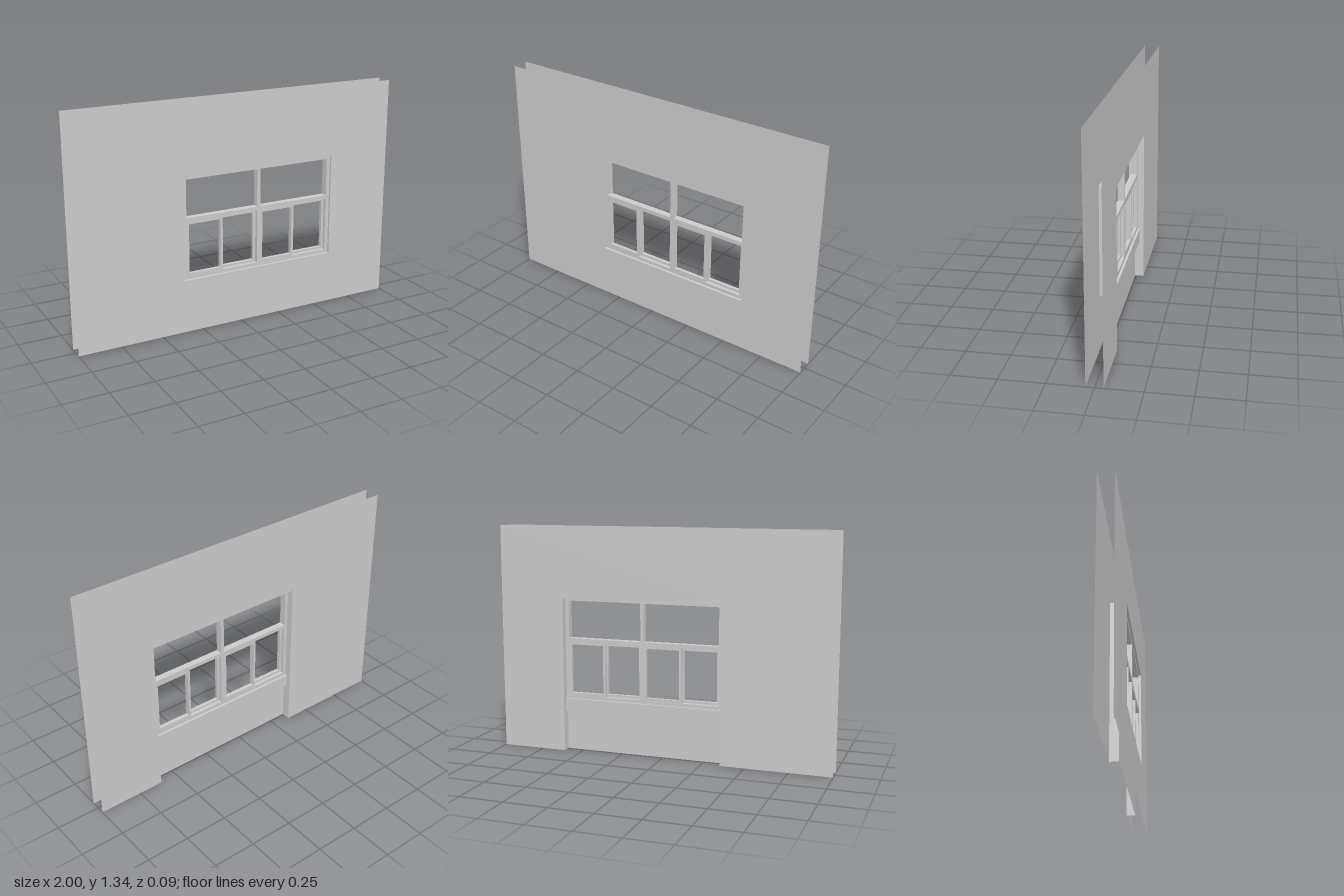
import * as THREE from 'three';

const material = new THREE.MeshStandardMaterial({ color: 0xcccccc, side: THREE.DoubleSide, flatShading: true });

// Window opening, wall sheets and depth planes
const L = -0.358, R = 0.605, BOTTOM = 0.314, TOP = 0.922;
const WALL_H = 1.335, FRONT = 0.046, BACK = -0.046;
const FRAME_BACK = -0.007, FRAME_FRONT = 0.032, FRAME_MID = 0.0125;
const SILL_Y = 0.236, SILL_Z = -0.021, NICHE_Z = 0.006;

function rect(Type, x0, x1, y0, y1) {
  const r = new Type();
  r.moveTo(x0, y0);
  r.lineTo(x1, y0);
  r.lineTo(x1, y1);
  r.lineTo(x0, y1);
  r.closePath();
  return r;
}

// Rectangle [x0, x1, y0, y1] pierced by rectangular holes
function pierced(outer, holes) {
  const shape = rect(THREE.Shape, ...outer);
  shape.holes = holes.map(h => rect(THREE.Path, ...h));
  return shape;
}

export function createModel() {
  const model = new THREE.Group();
  const add = (name, geometry) => {
    const mesh = new THREE.Mesh(geometry, material);
    mesh.name = name;
    model.add(mesh);
    return mesh;
  };
  const slab = (name, outer, holes, z0, z1) => add(name,
    new THREE.ExtrudeGeometry(pierced(outer, holes), { depth: z1 - z0, bevelEnabled: false }).translate(0, 0, z0));

  // Upright strip facing across the wall, at x
  const sideStrip = (name, x, y0, y1, z0, z1) => add(name,
    new THREE.PlaneGeometry(z1 - z0, y1 - y0).rotateY(x > 0 ? -Math.PI / 2 : Math.PI / 2)
      .translate(x, (y0 + y1) / 2, (z0 + z1) / 2));
  // Level strip spanning the opening, at y
  const levelStrip = (name, y, z0, z1, up) => add(name,
    new THREE.PlaneGeometry(R - L, z1 - z0).rotateX(up ? -Math.PI / 2 : Math.PI / 2)
      .translate((L + R) / 2, y, (z0 + z1) / 2));
  // Upright strip spanning the opening and facing the back
  const backStrip = (name, y0, y1, z) => add(name,
    new THREE.PlaneGeometry(R - L, y1 - y0).rotateY(Math.PI).translate((L + R) / 2, (y0 + y1) / 2, z));

  // Outer wall sheet with the window opening
  add('frontWall', new THREE.ShapeGeometry(pierced([-1, 1, 0, WALL_H], [[L, R, BOTTOM, TOP]])).translate(0, 0, FRONT));

  // Inner wall sheet, open down to the floor
  const inner = new THREE.Shape([
    [-1, 0], [L, 0], [L, TOP], [R, TOP], [R, 0], [1, 0], [1, WALL_H], [-1, WALL_H],
  ].map(p => new THREE.Vector2(...p)));
  add('backWall', new THREE.ShapeGeometry(inner).rotateY(Math.PI).scale(-1, 1, 1).translate(0, 0, BACK));

  // Reveals round the window and the niche below it
  for (const x of [L, R]) {
    sideStrip('windowReveal', x, BOTTOM, TOP, BACK, FRONT);
    sideStrip('sillReveal', x, SILL_Y, BOTTOM, BACK, SILL_Z);
    sideStrip('nicheReveal', x, 0, SILL_Y, BACK, NICHE_Z);
  }
  levelStrip('windowHead', TOP, BACK, FRONT, false);

  // Sill and recessed niche panel
  levelStrip('sillTop', BOTTOM, SILL_Z, FRONT, true);
  backStrip('sillFace', SILL_Y, BOTTOM, SILL_Z);
  levelStrip('sillUnderside', SILL_Y, SILL_Z, NICHE_Z, false);
  backStrip('nichePanel', 0, SILL_Y, NICHE_Z);

  // Frame with two fixed lights above two sliding bays
  const bayW = 0.449, bays = [-0.336, 0.134];
  const low = [0.335, 0.655], high = [0.677, 0.9];
  const lights = bays.flatMap(x => [low, high].map(y => [x, x + bayW, ...y]));
  slab('windowFrame', [L, R, BOTTOM, TOP], lights, FRAME_BACK, FRAME_FRONT);

  // Sliding sashes: one on the front track, one on the back track per bay
  const sash = (name, x0, x1, z0, z1) => {
    const b = 0.015;
    slab(name, [x0, x1, ...low], [[x0 + b, x1 - b, low[0] + b, low[1] - b]], z0, z1);
  };
  for (const x of bays) {
    sash('frontSash', x, x + 0.226, FRAME_MID, FRAME_FRONT);
    sash('backSash', x + bayW - 0.23, x + bayW, FRAME_BACK, FRAME_MID);
  }
  return model;
}
